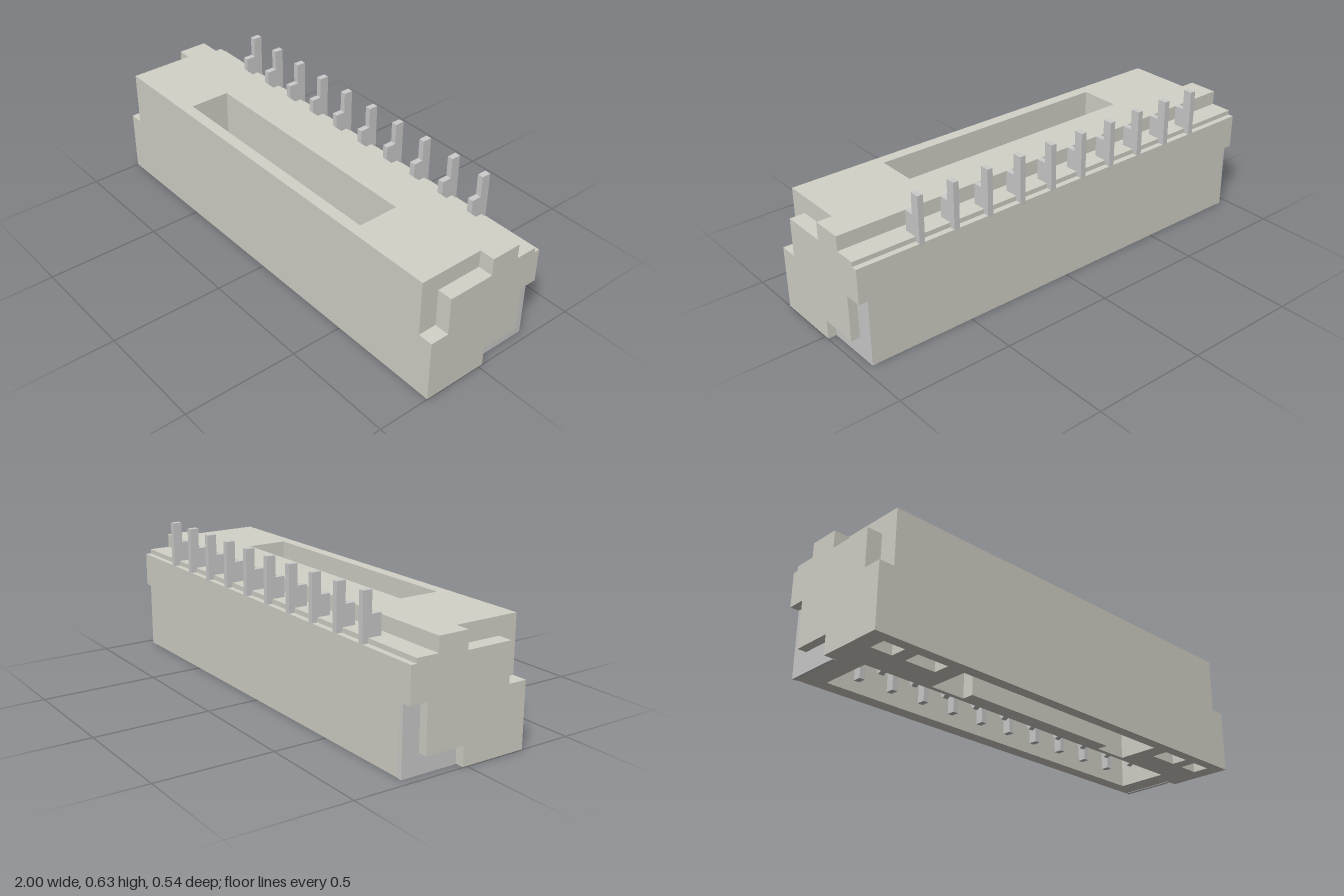
import * as THREE from 'three';

const plastic = new THREE.MeshStandardMaterial({ color: 0xd3d2c8, flatShading: true });
const metal = new THREE.MeshStandardMaterial({ color: 0xcccccc, flatShading: true });

// Rectangle in plan as corner points (x, -z)
const rect = (x0, x1, z0, z1) => [[x0, -z1], [x1, -z1], [x1, -z0], [x0, -z0]]
  .map(([a, b]) => new THREE.Vector2(a, b));

// Horizontal layer between heights y0 and y1, pierced by rectangular holes
function layer(outline, holes, y0, y1) {
  const shape = new THREE.Shape(rect(...outline));
  for (const h of holes) shape.holes.push(new THREE.Path(rect(...h)));
  return new THREE.ExtrudeGeometry(shape, { depth: y1 - y0, bevelEnabled: false })
    .rotateX(-Math.PI / 2).translate(0, y0, 0);
}

// Side profile of (z, y) points, extruded from x0 to x1
function profile(points, x0, x1) {
  const shape = new THREE.Shape(points.map(([z, y]) => new THREE.Vector2(-z, y)));
  return new THREE.ExtrudeGeometry(shape, { depth: x1 - x0, bevelEnabled: false })
    .rotateY(Math.PI / 2).translate(x0, 0, 0);
}

export function createModel() {
  const model = new THREE.Group();
  const add = (name, geometry, material, parent = model) => {
    const mesh = new THREE.Mesh(geometry, material);
    mesh.name = name;
    parent.add(mesh);
    return mesh;
  };

  // Housing core: window through it, contact cavity and end pockets open below
  const core = 0.935;
  const window_ = [-0.55, 0.55, 0.04, 0.22];
  const cavity = [-0.85, 0.85, -0.21, 0.02];
  const pockets = [];
  for (const s of [-1, 1]) {
    for (const [a, b] of [[0.63, 0.77], [0.83, 0.925]]) {
      pockets.push([Math.min(s * a, s * b), Math.max(s * a, s * b), 0.15, 0.222]);
    }
  }
  add('housingLower', layer([-core, core, -0.27, 0.27], [window_, cavity, ...pockets], 0.002, 0.433), plastic);
  add('housingLedge', layer([-core, core, -0.245, 0.27], [window_], 0.433, 0.453), plastic);
  add('housingTop', layer([-core, core, -0.15, 0.27], [window_], 0.453, 0.515), plastic);

  // Ledge along the window, beside the cavity
  const ledge = add('windowLedge', new THREE.BoxGeometry(0.78, 0.12, 0.05), plastic);
  ledge.position.set(0, 0.062, 0.065);

  // Ends: stepped notch at the front top, L recess at the back bottom
  const upper = [[-0.27, 0.433], [-0.245, 0.433], [-0.245, 0.453], [-0.15, 0.453], [-0.15, 0.515],
    [-0.017, 0.515], [-0.017, 0.44], [0.188, 0.44], [0.188, 0.275], [0.27, 0.275], [0.27, 0.002]];
  const inner = [...upper, [-0.27, 0.002]];
  const outer = [...upper, [-0.02, 0.002], [-0.02, 0.085], [-0.193, 0.085], [-0.193, 0.285], [-0.27, 0.285]];
  const tab = [[-0.02, 0], [-0.02, 0.085], [-0.193, 0.085], [-0.193, 0.285], [-0.27, 0.285], [-0.27, 0]];
  for (const s of [-1, 1]) {
    const side = s > 0 ? 'left' : 'right';
    const span = (a, b) => (s > 0 ? [a, b] : [-b, -a]);
    add(side + 'EndInner', profile(inner, ...span(core, 0.96)), plastic);
    add(side + 'EndOuter', profile(outer, ...span(0.96, 1)), plastic);
    add(side + 'SolderTab', profile(tab, ...span(0.945, 0.962)), metal);
  }

  // Row of ten contacts: stepped pin above, rail and bent spring in the cavity
  const pin = [[-0.27, 0.42], [-0.27, 0.63], [-0.23, 0.63], [-0.23, 0.54], [-0.187, 0.54], [-0.187, 0.42]];
  const rail = [[-0.211, 0.05], [-0.211, 0.44], [-0.175, 0.44], [-0.175, 0.05]];
  const spring = [[-0.175, 0.42], [-0.04, 0.42], [-0.09, 0.13], [-0.04, 0.04],
    [-0.06, 0.03], [-0.12, 0.13], [-0.085, 0.38], [-0.175, 0.38]];
  for (let i = 0; i < 10; i++) {
    const contact = new THREE.Group();
    contact.name = 'contact' + (i + 1);
    contact.position.x = (i - 4.5) * 0.159;
    add('pin', profile(pin, -0.0125, 0.0125), metal, contact);
    add('rail', profile(rail, -0.0125, 0.0125), metal, contact);
    add('spring', profile(spring, -0.0125, 0.0125), metal, contact);
    model.add(contact);
  }
  return model;
}
